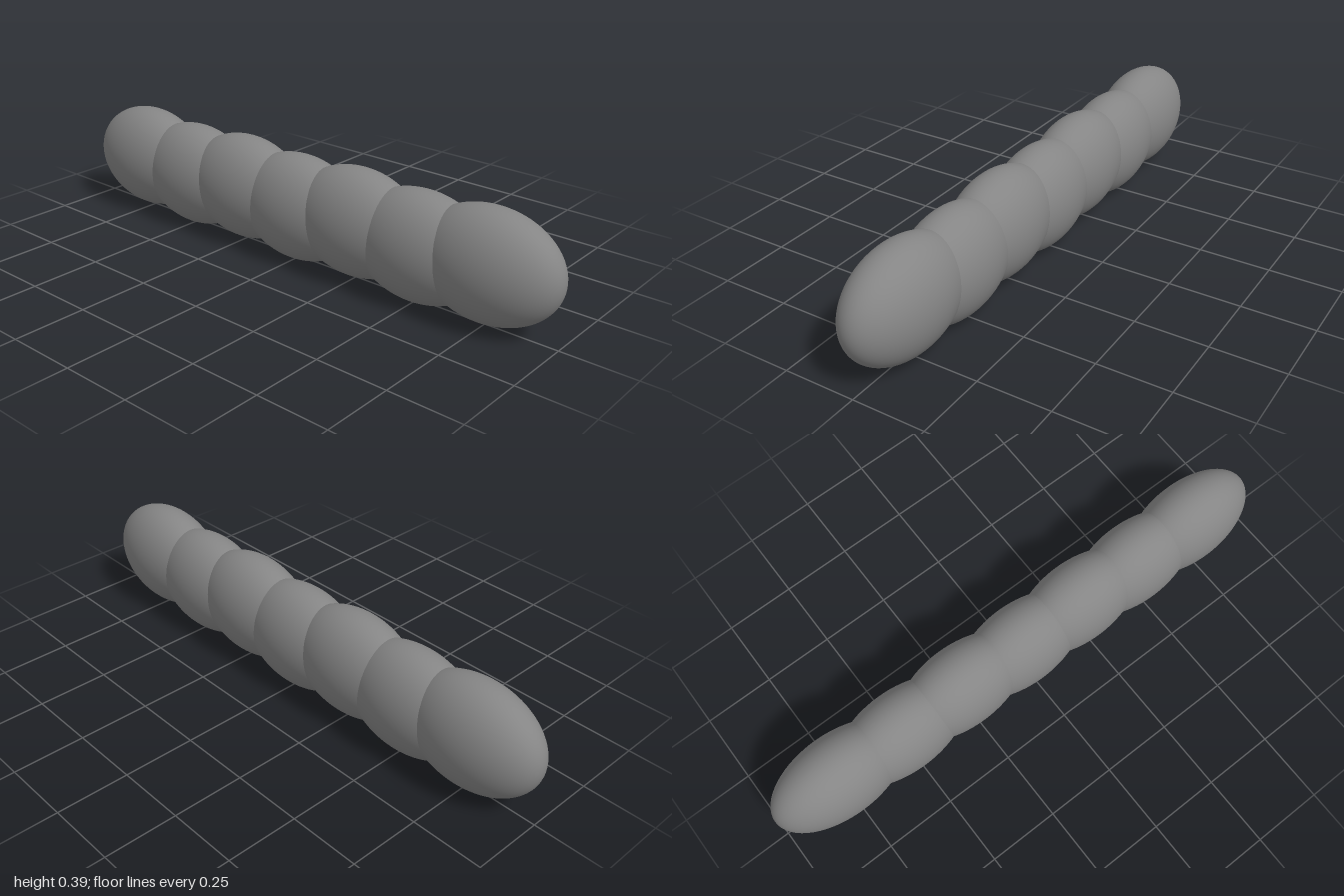
import * as THREE from 'three';

export function createModel() {
  const model = new THREE.Group();
  const material = new THREE.MeshStandardMaterial({ color: 0x858585 });

  // One smooth ellipsoid shared by all segments: longest along x, narrow in z
  const geometry = new THREE.SphereGeometry(1, 64, 48).scale(0.25, 0.188, 0.133);

  // Seven overlapping body segments, alternately raised and lowered
  const count = 7, spacing = 0.25;
  for (let i = 0; i < count; i++) {
    const segment = new THREE.Mesh(geometry, material);
    segment.name = `bodySegment${i + 1}`;
    segment.position.set((i - (count - 1) / 2) * spacing, i % 2 ? 0.188 : 0.201, 0);
    model.add(segment);
  }
  return model;
}
